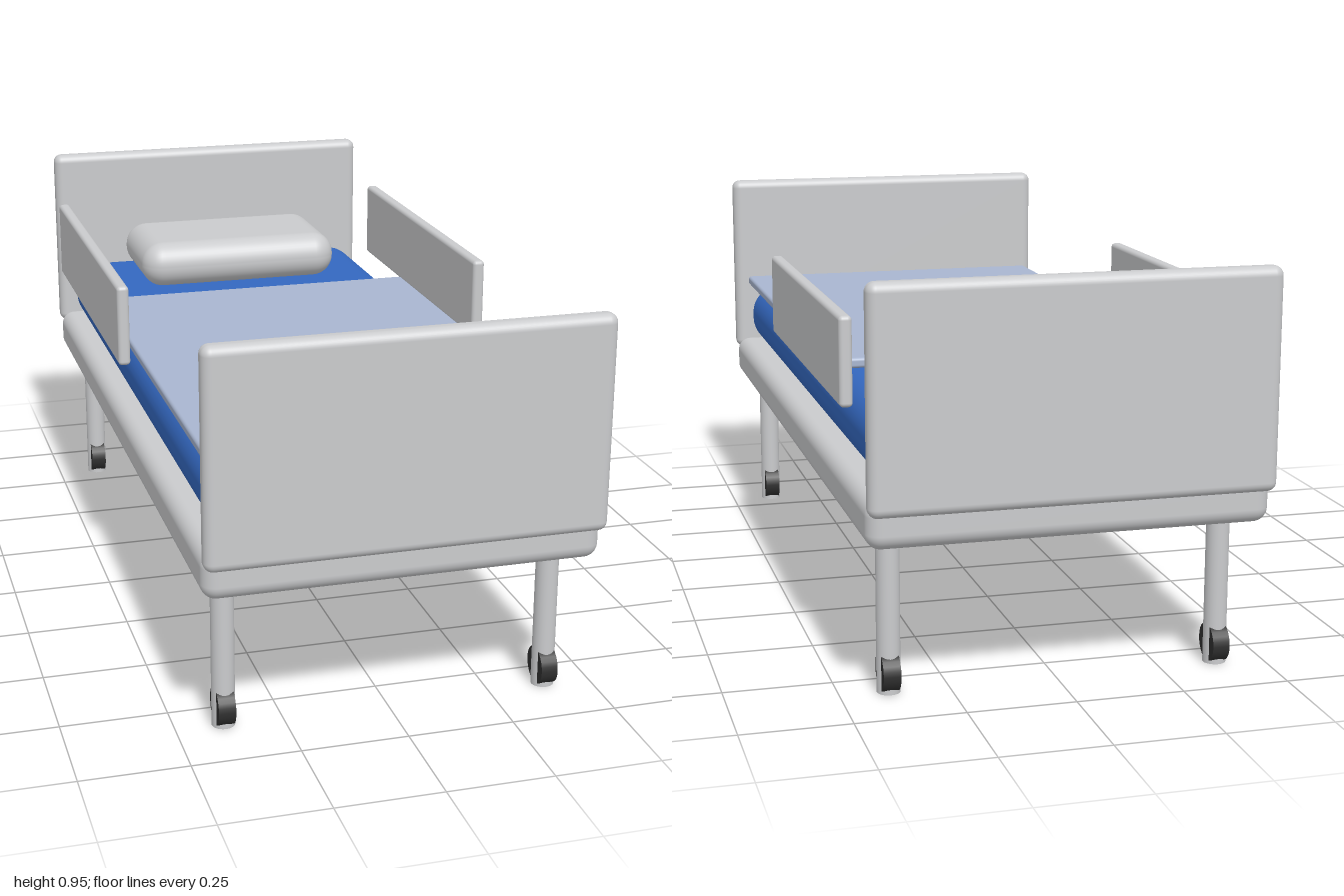
import * as THREE from 'three';
import { RoundedBoxGeometry } from 'three/addons/geometries/RoundedBoxGeometry.js';

const material = (name, color) => {
  const m = new THREE.MeshStandardMaterial({ color });
  m.name = name;
  return m;
};

export function createModel() {
  const bed = new THREE.Group();
  bed.name = 'hospitalBed';
  const grey = material('light grey', 0xcacbcd);
  const blue = material('mattress blue', 0x3468c0);
  const pale = material('blanket pale blue', 0xa9b6d0);
  const black = material('wheel black', 0x303030);

  const add = (name, geometry, mat, x, y, z) => {
    const mesh = new THREE.Mesh(geometry, mat);
    mesh.name = name;
    mesh.position.set(x, y, z);
    bed.add(mesh);
    return mesh;
  };
  // Rounded block given by its extents along each axis
  const block = (name, mat, [x0, x1], [y0, y1], [z0, z1], radius) =>
    add(name, new RoundedBoxGeometry(x1 - x0, y1 - y0, z1 - z0, 5, radius), mat,
      (x0 + x1) / 2, (y0 + y1) / 2, (z0 + z1) / 2);

  // Base and bedding
  block('bedFrame', grey, [-0.46, 0.46], [0.365, 0.475], [-0.97, 0.97], 0.035);
  block('mattress', blue, [-0.425, 0.425], [0.475, 0.642], [-0.925, 0.925], 0.075);
  block('blanket', pale, [-0.43, 0.43], [0.645, 0.67], [-0.39, 0.905], 0.008);
  block('pillow', grey, [-0.28, 0.28], [0.64, 0.765], [-0.87, -0.525], 0.06);

  // End boards
  block('headboard', grey, [-0.462, 0.462], [0.445, 0.95], [-1, -0.947], 0.022);
  block('footboard', grey, [-0.462, 0.462], [0.445, 0.95], [0.947, 1], 0.022);

  // Side rails, legs and wheels, mirrored left and right
  const legGeometry = new THREE.CylinderGeometry(0.027, 0.027, 0.375, 24);
  const wheelGeometry = new THREE.CylinderGeometry(0.045, 0.045, 0.04, 24);
  wheelGeometry.rotateZ(Math.PI / 2);
  for (const [side, s] of [['left', 1], ['right', -1]]) {
    const rail = block(side + 'Rail', grey, [0.45, 0.48], [0.642, 0.845], [-0.785, 0.135], 0.01);
    rail.position.x *= s;
    for (const [end, z] of [['Front', 0.833], ['Back', -0.833]]) {
      add(side + end + 'Leg', legGeometry, grey, s * 0.388, 0.1875, z);
      add(side + end + 'Wheel', wheelGeometry, black, s * 0.388, 0.048, z);
    }
  }
  return bed;
}
